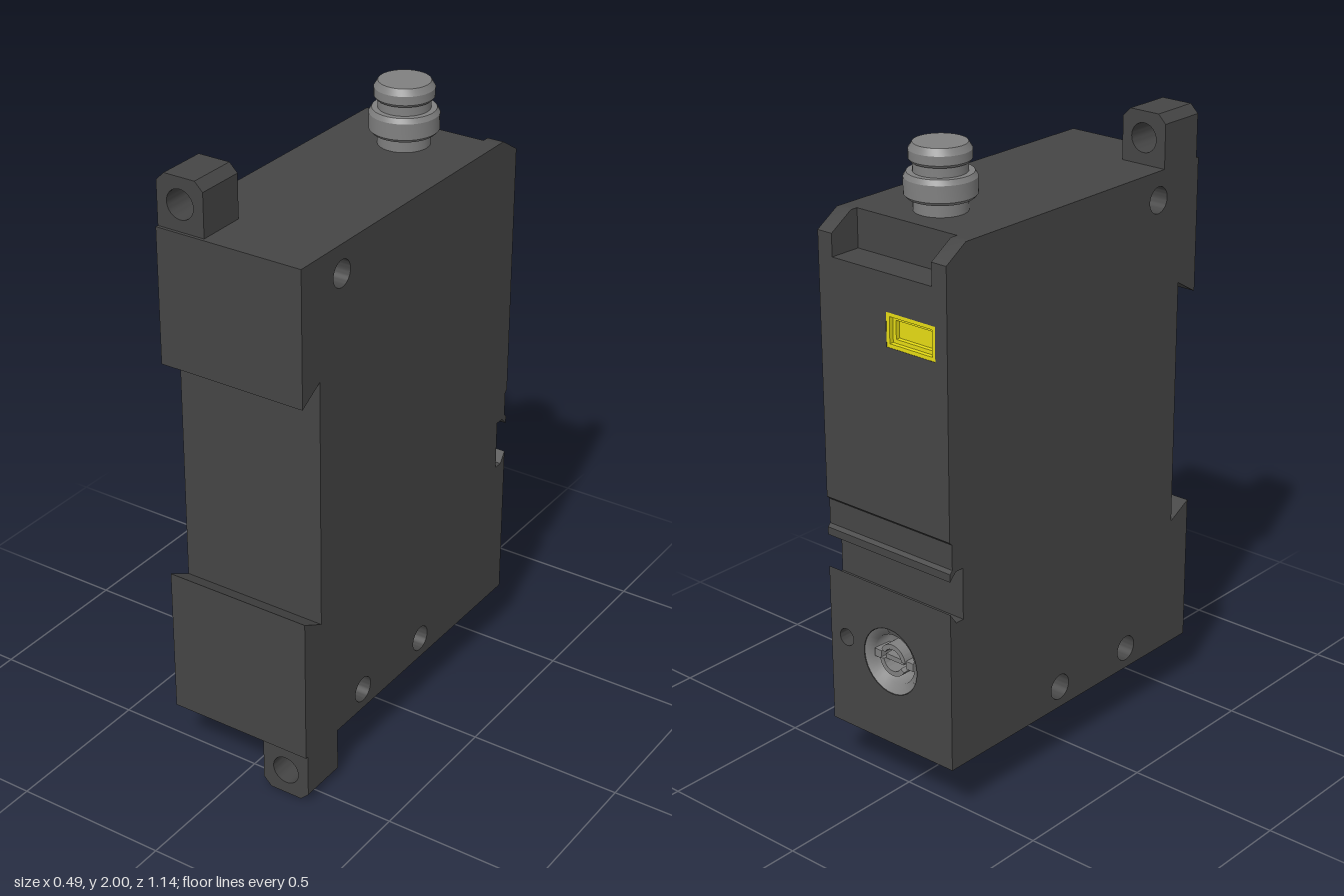
import * as THREE from 'three';
import { toCreasedNormals } from 'three/addons/utils/BufferGeometryUtils.js';

const dark = new THREE.MeshStandardMaterial({ color: 0x454545 });
const metal = new THREE.MeshStandardMaterial({ color: 0x808080, side: THREE.DoubleSide });
const yellow = new THREE.MeshStandardMaterial({ color: 0xe6dc14 });

const HALF = 0.245, BACK = -0.57, INNER = -0.465, FRONT = 0.57;

const poly = (pts) => new THREE.Shape(pts.map(([a, b]) => new THREE.Vector2(a, b)));
const rect = (x0, x1, y0, y1) => poly([[x0, y0], [x1, y0], [x1, y1], [x0, y1]]);
const circle = (x, y, r) => new THREE.Shape().absarc(x, y, r, 0, Math.PI * 2, false);
const arcBand = (x, y, r0, r1, a0, a1) => {
  const s = new THREE.Shape();
  s.absarc(x, y, r1, a0, a1, false);
  s.absarc(x, y, r0, a1, a0, true);
  s.closePath();
  return s;
};

function extrude(shape, depth, holes = []) {
  shape.holes.push(...holes);
  const g = new THREE.ExtrudeGeometry(shape, { depth, bevelEnabled: false, curveSegments: 20 });
  return toCreasedNormals(g, 0.6);
}

export function createModel() {
  const model = new THREE.Group();
  const add = (name, geometry, material = dark) => {
    const mesh = new THREE.Mesh(geometry, material);
    mesh.name = name;
    model.add(mesh);
    return mesh;
  };
  // (z, y) profile extruded across x0..x1
  const across = (name, pts, x0, x1, holes) =>
    add(name, extrude(poly(pts), x1 - x0, holes).rotateY(-Math.PI / 2).translate(x1, 0, 0));
  // (x, y) outline extruded across z0..z1
  const along = (name, shape, z0, z1, holes, material) =>
    add(name, extrude(shape, z1 - z0, holes).translate(0, 0, z0), material);
  // (x, z) outline extruded across y0..y1
  const upward = (name, shape, y0, y1, holes, material) =>
    add(name, extrude(shape, y1 - y0, holes).rotateX(Math.PI / 2).translate(0, y1, 0), material);

  // Main housing with rail recess in front, label groove at the back and cross bores
  across('housing', [
    [FRONT, 0.19], [FRONT, 0.655], [0.485, 0.61], [0.485, 1.42], [FRONT, 1.37], [FRONT, 1.8],
    [INNER, 1.8], [INNER, 0.92], [BACK, 0.92], [-0.56, 0.91], [-0.56, 0.83], [BACK, 0.82],
    [BACK, 0.795], [-0.545, 0.82], [-0.515, 0.82], [-0.515, 0.655], [INNER, 0.655], [INNER, 0.19],
  ], -HALF, HALF, [circle(0.375, 1.71, 0.042), circle(0.26, 0.24, 0.042), circle(-0.07, 0.24, 0.042)]);
  across('grooveLip', [[BACK, 0.655], [-0.545, 0.655], [BACK, 0.69]], -HALF, HALF);

  // Back panels and the cheeks beside the top notch
  along('lowerBackPanel', rect(-HALF, HALF, 0.19, 0.655), BACK, INNER,
    [circle(0, 0.45, 0.108), circle(0.18, 0.47, 0.028)]);
  along('upperBackPanel', rect(-HALF, HALF, 0.92, 1.68), BACK, INNER, [rect(-0.2, -0.015, 1.46, 1.565)]);
  for (const x0 of [-HALF, 0.19]) {
    across('notchCheek', [[INNER, 1.68], [INNER, 1.8], [-0.49, 1.8], [BACK, 1.75], [BACK, 1.68]], x0, x0 + 0.055);
  }

  // Stepped indicator window
  for (let i = 0; i < 3; i++) {
    const o = i * 0.012, n = o + 0.012, z = -0.569 + i * 0.014;
    along('windowStep', rect(-0.2 + o, -0.015 - o, 1.46 + o, 1.565 - o), z, -0.5,
      i < 2 ? [rect(-0.2 + n, -0.015 - n, 1.46 + n, 1.565 - n)] : [], yellow);
  }

  // Round socket: lining, split contact ring, cross bar and keys
  const lining = add('socketLining', new THREE.LatheGeometry(
    [[0, 0.075], [0.075, 0.075], [0.08, 0.02], [0.107, 0.002]].map(([r, y]) => new THREE.Vector2(r, y)), 40), metal);
  lining.rotation.x = Math.PI / 2;
  lining.position.set(0, 0.45, BACK);
  for (let i = 0; i < 2; i++) {
    const a = i * Math.PI + 0.5;
    along('contactRing', arcBand(0, 0.45, 0.036, 0.052, a, a + 2.5), -0.56, -0.49, [], metal);
  }
  along('contactBar', rect(-0.036, 0.036, 0.442, 0.458), -0.55, -0.49, [], metal);
  for (const s of [-1, 1]) {
    along('socketKey', rect(s * 0.064 - 0.014, s * 0.064 + 0.014, 0.437, 0.463), -0.555, -0.49, [], metal);
  }

  // Base plate with port pockets and shallow grooves
  upward('basePlate', rect(-HALF, HALF, BACK, FRONT), 0.17, 0.19, [
    circle(0.07, -0.31, 0.112),
    circle(-0.1, 0.08, 0.1),
    arcBand(0.1, 0.09, 0.065, 0.085, 0.6, 5.0),
    circle(0.17, -0.13, 0.022),
    circle(-0.12, -0.27, 0.022),
    poly([[0.01, 0.54], [-0.22, 0.54], [-0.22, 0.34], [-0.2, 0.34], [-0.2, 0.52], [0.01, 0.52]]),
    poly([[-0.09, -0.52], [-0.22, -0.52], [-0.22, -0.5], [-0.11, -0.5], [-0.11, -0.39], [-0.09, -0.39]]),
  ]);
  upward('panelBacking', rect(-HALF, HALF, BACK, INNER), 0.19, 0.192);
  upward('portDisc', circle(-0.1, 0.08, 0.08), 0.171, 0.19, [circle(-0.1, 0.08, 0.045)]);
  upward('portBoss', circle(0.07, -0.31, 0.07), 0.171, 0.19, [circle(0.07, -0.31, 0.045)], metal);

  // Mounting lugs: chamfered outer corners, round bore
  const lug = (name, x0, x1, yRoot, yTip) => {
    const c = 0.027, yc = yTip - Math.sign(yTip - yRoot) * c;
    along(name, poly([[x0, yRoot], [x1, yRoot], [x1, yc], [x1 - c, yTip], [x0 + c, yTip], [x0, yc]]),
      0.4, 0.56, [circle((x0 + x1) / 2, (yRoot + yTip) / 2, 0.046)]);
  };
  lug('topLug', -HALF, -0.085, 1.8, 1.965);
  lug('bottomLug', 0.08, HALF, 0.17, 0);

  // Turned connector on the top
  const profile = [[0.08, 1.79], [0.08, 1.84], [0.098, 1.84], [0.107, 1.85], [0.107, 1.9], [0.098, 1.915],
    [0.08, 1.915], [0.08, 1.945], [0.086, 1.945], [0.092, 1.953], [0.092, 1.98], [0.08, 2], [0, 2]];
  const connector = new THREE.LatheGeometry(profile.map(([r, y]) => new THREE.Vector2(r, y)), 40);
  add('connector', toCreasedNormals(connector, 0.5), metal).position.z = -0.32;

  return model;
}
